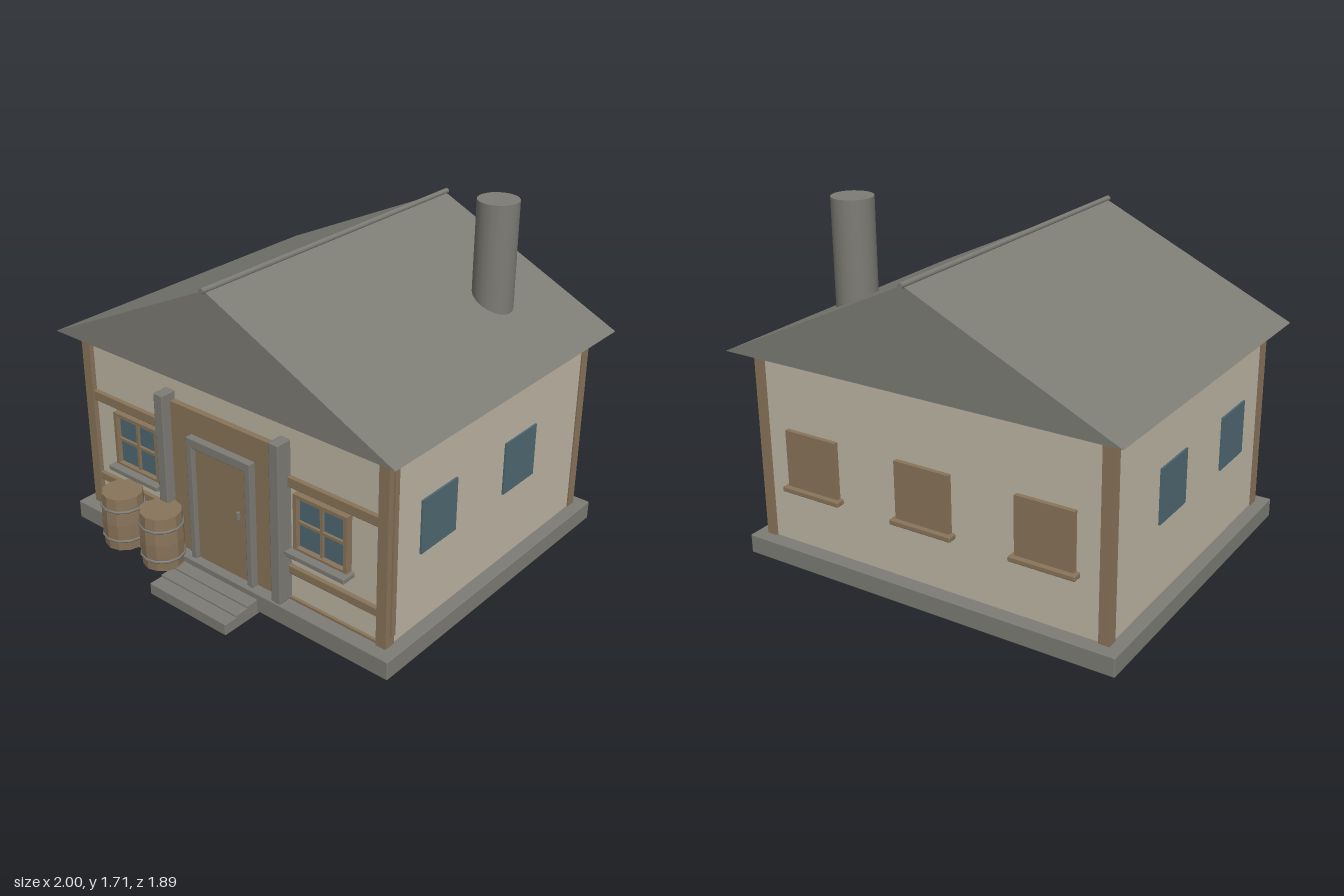
import * as THREE from 'three';
import { RoundedBoxGeometry } from 'three/addons/geometries/RoundedBoxGeometry.js';

export function createModel() {
  const house = new THREE.Group();
  house.name = 'house';

  const material = (name, color) => {
    const m = new THREE.MeshStandardMaterial({ color });
    m.name = name;
    return m;
  };
  const stone = material('grey stone', 0x7d7c75);
  const wood = material('brown timber', 0x89745a);
  const plaster = material('cream plaster', 0xbeb6a4);
  const glass = material('blue glass', 0x4f6872);

  const add = (name, geometry, mat, parent = house) => {
    const mesh = new THREE.Mesh(geometry, mat);
    mesh.name = name;
    parent.add(mesh);
    return mesh;
  };
  // Box from its minimum and maximum corners, optionally with a small bevel
  const box = (name, mat, x0, x1, y0, y1, z0, z1, bevel = 0, parent = house) => {
    const size = [x1 - x0, y1 - y0, z1 - z0];
    const geometry = bevel
      ? new RoundedBoxGeometry(...size, 1, bevel)
      : new THREE.BoxGeometry(...size);
    const mesh = add(name, geometry, mat, parent);
    mesh.position.set((x0 + x1) / 2, (y0 + y1) / 2, (z0 + z1) / 2);
    return mesh;
  };
  const group = (name, x = 0, y = 0, z = 0) => {
    const g = new THREE.Group();
    g.name = name;
    g.position.set(x, y, z);
    house.add(g);
    return g;
  };

  // Base and walls
  box('foundation', stone, -0.975, 0.975, 0.015, 0.11, -0.905, 0.74, 0.006);
  box('walls', plaster, -0.91, 0.91, 0.1, 1.045, -0.835, 0.655);

  // Roof: a solid gable prism
  const gable = new THREE.Shape([
    new THREE.Vector2(-1, 1.04), new THREE.Vector2(1, 1.04), new THREE.Vector2(0, 1.51),
  ]);
  const roof = add('roof', new THREE.ExtrudeGeometry(gable, { depth: 1.69, bevelEnabled: false }), stone);
  roof.position.z = -0.935;
  const ridge = add('ridgePole', new THREE.CylinderGeometry(0.014, 0.014, 1.72, 8), stone);
  ridge.rotation.x = Math.PI / 2;
  ridge.position.set(0, 1.512, -0.09);
  const chimney = add('chimney', new THREE.CylinderGeometry(0.097, 0.097, 0.61, 20), stone);
  chimney.position.set(0.59, 1.405, -0.5);

  // Timber frame and stone pillars, mirrored
  for (const s of [-1, 1]) {
    const mirrored = (name, mat, a, b, ...rest) =>
      box(name, mat, Math.min(s * a, s * b), Math.max(s * a, s * b), ...rest);
    mirrored('frontPost', wood, 0.865, 0.917, 0.11, 1.04, 0.62, 0.68);
    mirrored('cornerBoard', wood, 0.9, 0.925, 0.16, 1.04, 0.622, 0.65);
    mirrored('backPost', wood, 0.865, 0.917, 0.11, 1.04, -0.847, -0.795);
    mirrored('upperRail', wood, 0.37, 0.868, 0.69, 0.74, 0.64, 0.675, 0.005);
    mirrored('lowerRail', wood, 0.37, 0.868, 0.25, 0.292, 0.64, 0.675, 0.005);
    mirrored('stonePillar', stone, 0.32, 0.375, 0.11, 0.912, 0.645, 0.735, 0.006);
    // Side windows
    for (const z of [0.325, -0.295]) {
      mirrored('sideWindow', glass, 0.905, 0.919, 0.47, 0.732, z - 0.125, z + 0.125);
    }
  }
  box('topBeam', wood, -0.868, 0.868, 1.018, 1.042, 0.64, 0.675);
  box('bottomBeam', wood, -0.868, 0.868, 0.108, 0.122, 0.64, 0.67);

  // Entrance
  box('entrancePanel', wood, -0.325, 0.325, 0.11, 0.87, 0.65, 0.685);
  box('door', wood, -0.165, 0.165, 0.11, 0.705, 0.68, 0.695);
  for (const s of [-1, 1]) {
    box('doorJamb', stone, s * 0.178 - 0.017, s * 0.178 + 0.017, 0.11, 0.745, 0.68, 0.72, 0.005);
  }
  box('doorLintel', stone, -0.195, 0.195, 0.7, 0.747, 0.68, 0.72, 0.005);
  box('doorHandle', stone, 0.094, 0.108, 0.422, 0.465, 0.69, 0.71, 0.004);

  // Front windows
  for (const x of [-0.567, 0.565]) {
    const w = group('frontWindow', x, 0.54, 0.655);
    box('pane', glass, -0.13, 0.13, -0.135, 0.13, 0, 0.012, 0, w);
    for (const s of [-1, 1]) {
      box('frameSide', wood, s * 0.138 - 0.009, s * 0.138 + 0.009, -0.145, 0.142, 0, 0.037, 0, w);
      box('frameRail', wood, -0.13, 0.13, s * 0.133 - 0.009, s * 0.133 + 0.009, 0, 0.037, 0, w);
    }
    box('uprightBar', wood, -0.007, 0.007, -0.13, 0.13, 0, 0.025, 0, w);
    box('crossBar', wood, -0.13, 0.13, -0.007, 0.007, 0, 0.025, 0, w);
    box('windowSill', stone, -0.165, 0.165, -0.16, -0.135, 0, 0.075, 0.005, w);
  }

  // Shuttered openings at the back
  for (const x of [-0.61, 0, 0.61]) {
    const w = group('backShutter', x, 0.54, -0.835);
    box('shutter', wood, -0.142, 0.142, -0.14, 0.142, -0.022, 0.01, 0, w);
    box('shutterSill', wood, -0.16, 0.16, -0.16, -0.135, -0.045, 0.01, 0.005, w);
  }

  // Entrance steps
  [[0.06, 0.945], [0.07, 0.875], [0.08, 0.805]].forEach(([top, front]) => {
    box('step', stone, -0.24, 0.24, 0, top, 0.7, front, 0.005);
  });

  // Barrels with hoops
  const profile = [[0, 0.078], [0.098, 0.078], [0.103, 0.16], [0.105, 0.216], [0.103, 0.27], [0.098, 0.355], [0, 0.355]]
    .map(([r, y]) => new THREE.Vector2(r, y));
  const staves = new THREE.LatheGeometry(profile, 12).toNonIndexed();
  staves.computeVertexNormals();
  for (const x of [-0.573, -0.31]) {
    const barrel = group('barrel', x, 0, 0.79);
    add('staves', staves, wood, barrel);
    for (const y of [0.13, 0.29]) {
      const hoop = add('hoop', new THREE.TorusGeometry(0.102, 0.007, 6, 12), stone, barrel);
      hoop.rotation.x = Math.PI / 2;
      hoop.position.y = y;
    }
  }
  return house;
}
